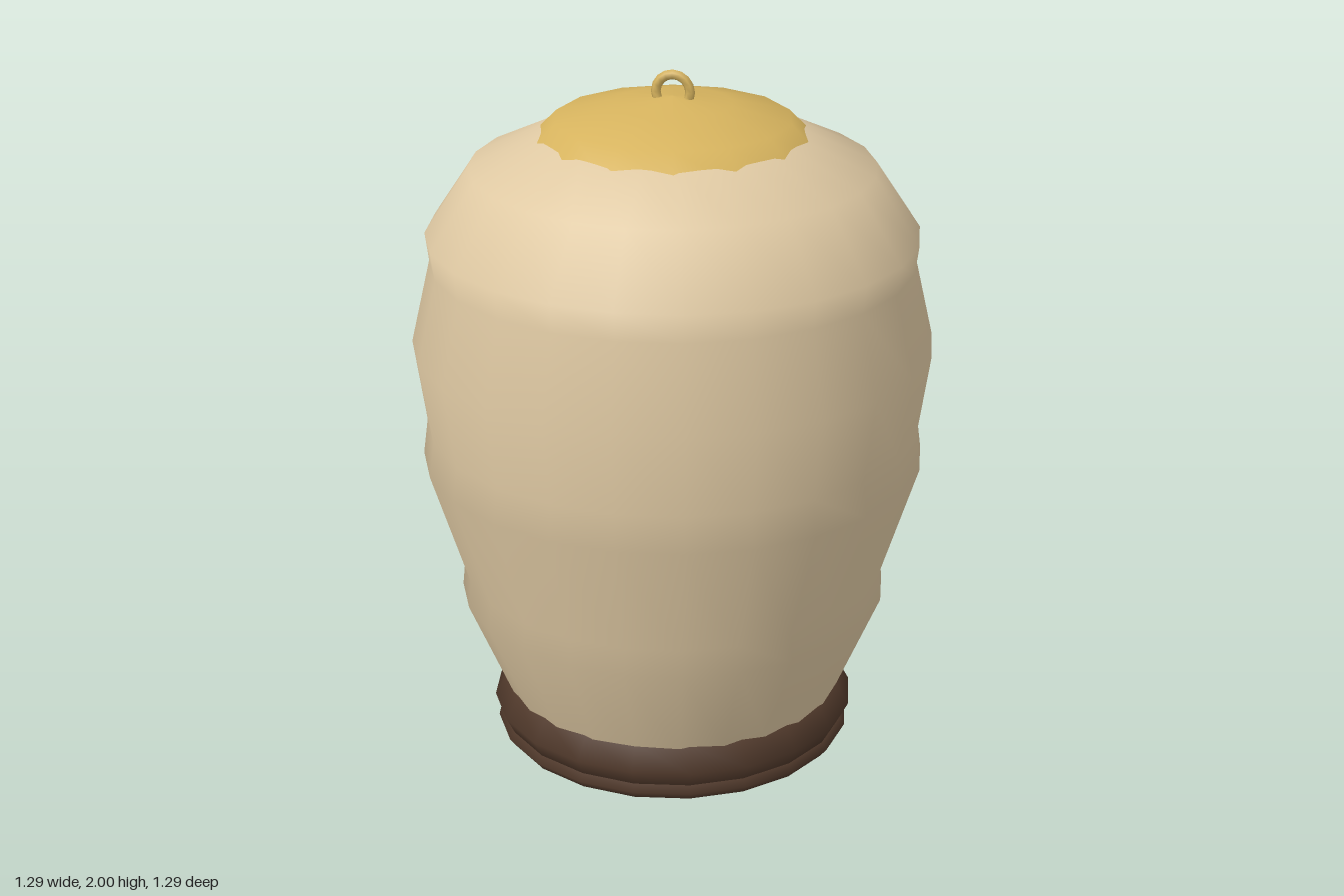
import * as THREE from 'three';

const cream = new THREE.MeshStandardMaterial({ color: 0xdfc9a3, side: THREE.DoubleSide });
cream.name = 'cream paper';
const gold = new THREE.MeshStandardMaterial({ color: 0xd6b35e, side: THREE.DoubleSide });
gold.name = 'gold';
const brown = new THREE.MeshStandardMaterial({ color: 0x4f382a, side: THREE.DoubleSide });
brown.name = 'dark wood';

// Profiles are [radius, height] pairs, listed from the bottom up
function lathe(profile, sides, start = 0) {
  const points = profile.map(([r, y]) => new THREE.Vector2(r, y));
  return new THREE.LatheGeometry(points, sides, start);
}

export function createModel() {
  const model = new THREE.Group();
  model.name = 'lantern';
  const add = (name, geometry, material, x = 0, y = 0, z = 0) => {
    const mesh = new THREE.Mesh(geometry, material);
    mesh.name = name;
    mesh.position.set(x, y, z);
    model.add(mesh);
    return mesh;
  };

  // Softly bulging paper shade, open at the bottom
  add('shade', lathe([
    [0.41, 0.34], [0.43, 0.39], [0.54, 0.65], [0.533, 0.72], [0.627, 1.02], [0.615, 1.11],
    [0.645, 1.32], [0.596, 1.53], [0.605, 1.6], [0.495, 1.765], [0.32, 1.847], [0.25, 1.86],
  ], 24), cream);

  // Shallow cap that cuts into the top of the shade
  add('cap', lathe([
    [0.36, 1.812], [0.29, 1.883], [0.145, 1.919], [0, 1.936],
  ], 14, Math.PI / 2), gold);
  add('hangingRing', new THREE.TorusGeometry(0.042, 0.012, 6, 16), gold, 0, 1.946);

  // Bottom band and the thinner rim below it
  add('baseBand', lathe([
    [0.39, 0.3], [0.437, 0.285], [0.465, 0.34], [0.43, 0.402], [0.39, 0.39], [0.385, 0.34], [0.39, 0.3],
  ], 20), brown);
  add('baseRim', lathe([
    [0.41, 0.257], [0.44, 0.257], [0.457, 0.279], [0.44, 0.3], [0.41, 0.3], [0.39, 0.279], [0.41, 0.257],
  ], 20), brown);

  // Four spokes meeting at a hub
  for (let i = 0; i < 4; i++) {
    const a = (i * Math.PI) / 2;
    const spoke = add('spoke', new THREE.CylinderGeometry(0.017, 0.017, 0.42, 8), brown,
      Math.cos(a) * 0.21, 0.285, Math.sin(a) * 0.21);
    spoke.rotation.set(0, -a, Math.PI / 2);
  }
  add('hub', new THREE.CylinderGeometry(0.1, 0.08, 0.06, 10), brown, 0, 0.288);

  // Light inside the shade
  add('bulb', new THREE.SphereGeometry(0.13, 16, 12), cream, 0, 0.43);

  // Pendant below the hub
  add('pendant', lathe([
    [0, 0], [0.056, 0.045], [0.032, 0.165], [0.043, 0.215], [0.015, 0.258], [0, 0.27],
  ], 8), gold);

  return model;
}
